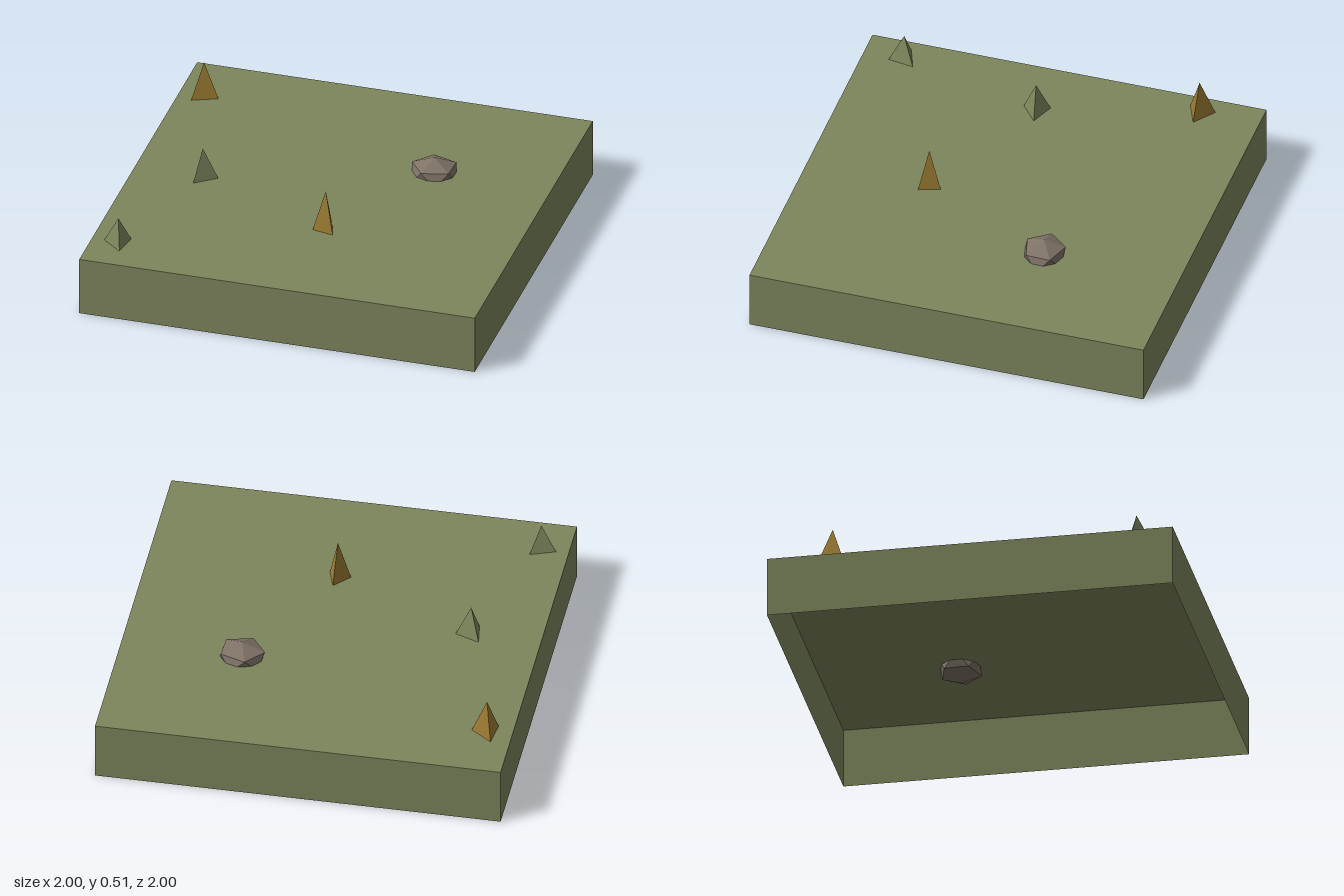
import * as THREE from 'three';

const paint = (name, color) => {
  const m = new THREE.MeshStandardMaterial({ color, flatShading: true, side: THREE.DoubleSide });
  m.name = name;
  return m;
};

export function createModel() {
  const group = new THREE.Group();
  const green = paint('mossGreen', 0x7d865d);
  const amber = paint('dryAmber', 0x9a7a32);
  const stone = paint('stoneBrown', 0x7f7368);
  const top = 0.3;

  const add = (name, geometry, material, x, y, z) => {
    const mesh = new THREE.Mesh(geometry, material);
    mesh.name = name;
    mesh.position.set(x, y, z);
    group.add(mesh);
    return mesh;
  };

  // Ground: a hollow slab, open underneath
  const ground = new THREE.Group();
  ground.name = 'ground';
  group.add(ground);
  const panel = (name, geometry) => {
    const mesh = new THREE.Mesh(geometry, green);
    mesh.name = name;
    ground.add(mesh);
  };
  panel('groundTop', new THREE.PlaneGeometry(2, 2).rotateX(-Math.PI / 2).translate(0, top, 0));
  ['front', 'left', 'back', 'right'].forEach((side, i) => {
    panel(side + 'Wall', new THREE.PlaneGeometry(2, top).translate(0, top / 2, 1).rotateY(i * Math.PI / 2));
  });

  // Grass tufts: three-sided spikes [x, z, radius, height, turn, material]
  [
    [-0.876, -0.699, 0.077, 0.187, 1.45, amber],
    [-0.655, 0.062, 0.076, 0.16, 1.72, green],
    [0.062, 0.38, 0.064, 0.215, 2.93, amber],
    [-0.863, 0.796, 0.076, 0.14, 2.45, green],
  ].forEach(([x, z, radius, height, turn, material], i) => {
    const tuft = add('grassTuft' + (i + 1), new THREE.ConeGeometry(radius, height, 3, 1, true), material, x, top + height / 2, z);
    tuft.rotation.y = turn;
  });

  // Rock: a flattened icosahedron, point up, half sunk into the ground
  const rock = new THREE.IcosahedronGeometry(1, 0)
    .rotateX(-Math.atan((1 + Math.sqrt(5)) / 2))
    .rotateY(-0.35)
    .scale(0.127, 0.08, 0.116);
  add('rock', rock, stone, 0.405, top, -0.31);

  return group;
}
